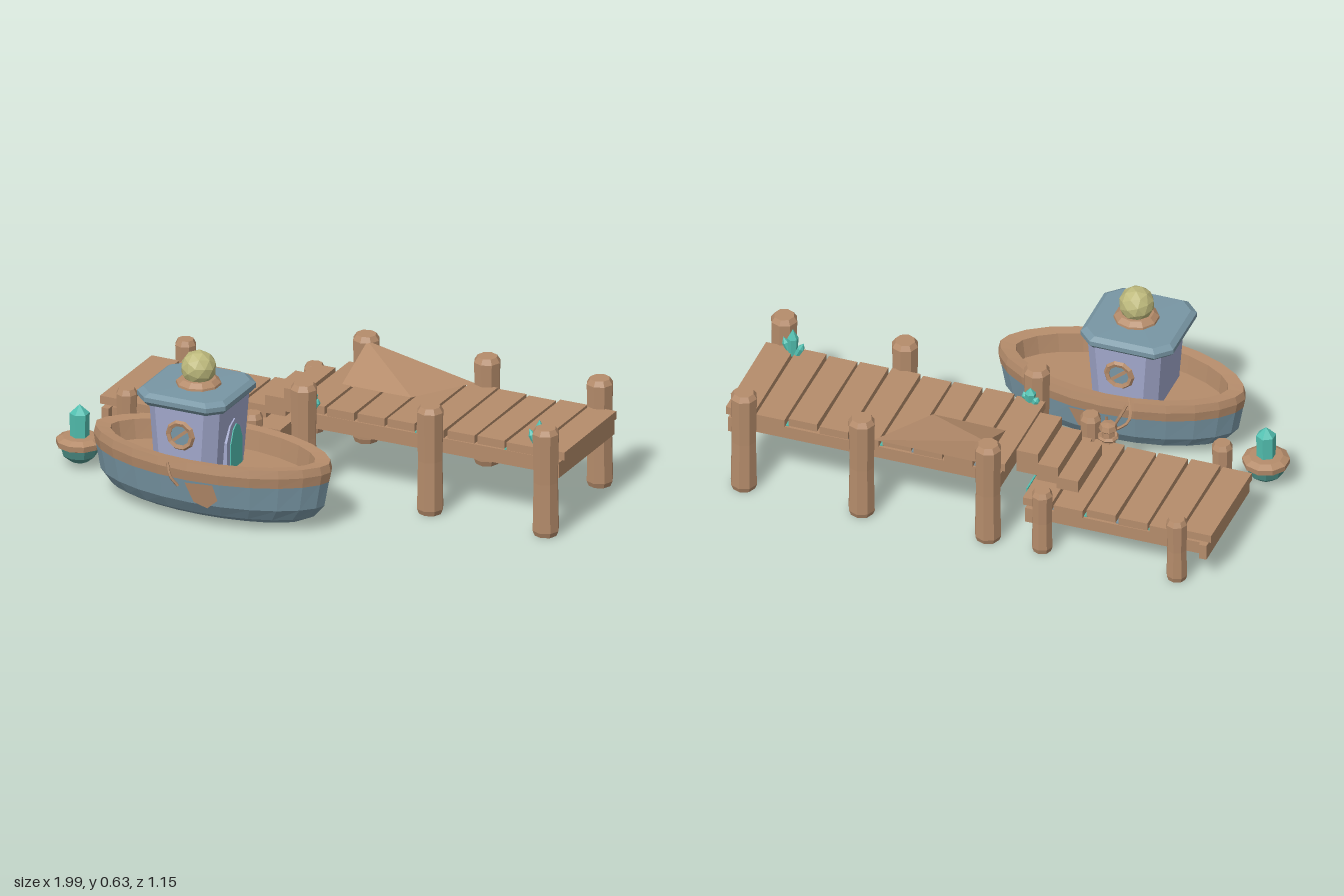
import * as THREE from 'three';
import { ConvexGeometry } from 'three/addons/geometries/ConvexGeometry.js';

const mat = (name, color) => {
  const m = new THREE.MeshStandardMaterial({ color });
  m.name = name;
  return m;
};
const V = (x, y, z) => new THREE.Vector3(x, y, z);

// Faceted normals for the low-poly style
function flat(geo) {
  const g = geo.index ? geo.toNonIndexed() : geo;
  g.computeVertexNormals();
  return g;
}

// Skin over stacked rings of points, listed bottom to top
function loft(rings) {
  const pos = [];
  for (let i = 0; i < rings.length - 1; i++) {
    const n = rings[i].length;
    for (let j = 0; j < n; j++) {
      const a = rings[i][j], b = rings[i][(j + 1) % n];
      const c = rings[i + 1][(j + 1) % n], d = rings[i + 1][j];
      for (const p of [a, b, c, a, c, d]) pos.push(p.x, p.y, p.z);
    }
  }
  const g = new THREE.BufferGeometry();
  g.setAttribute('position', new THREE.Float32BufferAttribute(pos, 3));
  return flat(g);
}

// Boat outline: pointed at both ends, scaled per level
const SIDES = 24;
const boatRing = (y, sx, sz) => Array.from({ length: SIDES }, (_, j) => {
  const a = (j / SIDES) * Math.PI * 2, s = Math.sin(a);
  return V(-0.28 + 0.49 * sx * Math.cos(a), y, 0.332 - 0.225 * sz * Math.sign(s) * Math.abs(s) ** 1.2);
});

// Rectangle with cut corners
const cutRing = (cx, cz, y, hx, hz, c) =>
  [[hx, hz - c], [hx, c - hz], [hx - c, -hz], [c - hx, -hz], [-hx, c - hz], [-hx, hz - c], [c - hx, hz], [hx - c, hz]]
    .map(([x, z]) => V(cx + x, y, cz + z));

export function createModel() {
  const root = new THREE.Group();
  root.name = 'boatAndDock';
  const wood = mat('wood', 0xb58c6b);
  const blue = mat('bluePaint', 0x7896a4);
  const lavender = mat('lavenderPaint', 0xa2a8cc);
  const teal = mat('tealCrystal', 0x52bfb0);
  const green = mat('buoyGreen', 0x4f938a);
  const yellow = mat('lampYellow', 0xbdb97c);

  const add = (parent, name, geo, m, x = 0, y = 0, z = 0) => {
    const mesh = new THREE.Mesh(geo, m);
    mesh.name = name;
    mesh.position.set(x, y, z);
    parent.add(mesh);
    return mesh;
  };
  const group = (name) => {
    const g = new THREE.Group();
    g.name = name;
    root.add(g);
    return g;
  };
  // Box given by its lower and upper limits
  const box = (parent, name, m, x0, x1, y0, y1, z0, z1) =>
    add(parent, name, new THREE.BoxGeometry(x1 - x0, y1 - y0, z1 - z0), m, (x0 + x1) / 2, (y0 + y1) / 2, (z0 + z1) / 2);
  const lathe = (pts, n) => flat(new THREE.LatheGeometry(pts.map(([r, y]) => new THREE.Vector2(r, y)), n));
  const post = (parent, x, z, r, h) =>
    add(parent, 'post', lathe([[0, 0], [r * 0.85, 0], [r, 0.02], [r * 0.93, h * 0.5], [r, h - 0.02], [r * 0.75, h], [0, h]], 8), wood, x, 0, z);
  const crystal = (parent, x, y, z, r, h, tilt = 0) => {
    const c = add(parent, 'crystal', lathe([[0, 0], [r * 0.75, 0], [r, h * 0.65], [0, h]], 6), teal, x, y, z);
    c.rotation.z = tilt;
  };

  // Docks: planks over a base, beams, posts, and teal glinting in the gaps
  function dock(name, x0, x1, top, count, posts, r, h, tealGaps) {
    const d = group(name);
    const step = (x1 - x0) / count;
    for (let i = 0; i < count; i++) {
      const a = x0 + i * step, k = 0.008 * ((i * 2) % 3 - 1);
      const p = box(d, 'plank', wood, a + 0.006, a + step - 0.006, top - 0.032, top, -0.49 - k, -0.045 + k / 2);
      p.rotation.y = 0.006 * ((i % 3) - 1);
      if (tealGaps.includes(i)) box(d, 'gapGlint', teal, a - 0.006, a + 0.006, top - 0.036, top - 0.03, -0.48, -0.05);
      else if (i % 2) box(d, 'gapPaint', blue, a - 0.006, a + 0.006, top - 0.036, top - 0.03, -0.48, -0.2);
    }
    box(d, 'base', wood, x0 + 0.02, x1 - 0.02, top - 0.052, top - 0.042, -0.48, -0.06);
    for (const z of [-0.47, -0.09]) box(d, 'longBeam', wood, x0 + 0.03, x1 - 0.03, top - 0.1, top - 0.042, z, z + 0.03);
    for (const x of [x0 + 0.02, x1 - 0.05]) box(d, 'crossBeam', wood, x, x + 0.03, top - 0.1, top - 0.038, -0.5, -0.03);
    for (const [x, z] of posts) post(d, x, z, r, h);
    return d;
  }
  const high = dock('highDock', -0.12, 1.0, 0.322, 9,
    [[-0.06, -0.52], [0.44, -0.525], [0.91, -0.52], [-0.06, 0.01], [0.46, 0], [0.94, 0]], 0.052, 0.43, [4, 7, 8]);
  const low = dock('lowDock', -0.94, -0.18, 0.195, 6,
    [[-0.81, -0.52], [-0.275, -0.52], [-0.8, 0], [-0.275, 0.005]], 0.041, 0.27, [1, 2, 4]);
  for (const [a, b] of [[-0.22, -0.17], [-0.43, -0.33]]) box(low, 'endGlint', teal, -0.184, -0.178, 0.155, 0.195, a, b);

  // Draped cover tied to the back post
  add(high, 'cover', flat(new ConvexGeometry([V(-0.04, 0.415, -0.49), V(-0.04, 0.32, -0.27),
    V(0.25, 0.323, -0.27), V(0.4, 0.322, -0.5), V(-0.04, 0.32, -0.5)])), wood);

  // Stairs between the docks
  const stairs = group('stairs');
  for (let i = 0; i < 3; i++)
    box(stairs, 'step', wood, -0.37 + i * 0.08, -0.285 + i * 0.08, 0.195 + i * 0.02, 0.245 + i * 0.042, -0.39, -0.13);

  // Crystal clusters on the high dock
  for (const [x, z] of [[0.88, -0.07], [-0.06, -0.06]]) {
    const big = x > 0 ? 1 : 0.6;
    crystal(high, x, 0.31, z, 0.022, 0.115 * big);
    crystal(high, x - 0.015, 0.31, z - 0.01, 0.014, 0.075 * big, 0.45);
    crystal(high, x + 0.015, 0.31, z + 0.01, 0.014, 0.07 * big, -0.4);
  }

  // Boat hull, rim and inner deck
  const boat = group('boat');
  const lower = boatRing(0.1, 0.945, 0.86), upper = boatRing(0.205, 0.985, 0.94);
  add(boat, 'hull', loft([boatRing(0.02, 0, 0), boatRing(0.022, 0.74, 0.5), boatRing(0.05, 0.86, 0.71), lower, upper]), blue);
  add(boat, 'rimAndDeck', loft([boatRing(0.2, 0.96, 0.92), boatRing(0.2, 0.985, 0.98), boatRing(0.24, 1, 1.01),
    boatRing(0.272, 0.985, 0.98), boatRing(0.268, 0.86, 0.81), boatRing(0.19, 0.84, 0.77), boatRing(0.19, 0, 0)]), wood);

  // Wooden repair patches lying on the hull sides
  const patchShape = [[-0.1, 0.85], [0.15, 0.1], [0.6, -0.08], [0.95, 0.3], [0.8, 0.9]];
  for (const [j, out] of [[18, 1], [5, -1]]) {
    const pts = patchShape.map(([s, t]) => {
      const a = lower[j].clone().lerp(lower[j + 1], s), b = upper[j].clone().lerp(upper[j + 1], s);
      return a.lerp(b, t).add(V(0, -0.002, 0.006 * out));
    });
    const tris = [1, 2, 3].flatMap((i) => [pts[0], pts[i], pts[i + 1]]);
    add(boat, 'hullPatch', flat(new THREE.BufferGeometry().setFromPoints(tris)), wood);
  }

  // Cabin and roof
  const cab = (y, hx, hz) => cutRing(-0.335, 0.335, y, hx, hz, 0.045);
  add(boat, 'cabin', loft([cab(0.19, 0.128, 0.163), cab(0.46, 0.147, 0.171)]), lavender);
  const roof = (y, h, c) => cutRing(-0.345, 0.337, y, h, h, c);
  add(boat, 'roof', loft([roof(0.452, 0, 0), roof(0.452, 0.168, 0.05), roof(0.47, 0.184, 0.055),
    roof(0.488, 0.184, 0.055), roof(0.502, 0.165, 0.05), roof(0.505, 0, 0)]), blue);
  add(boat, 'lampBase', lathe([[0.088, 0.495], [0.085, 0.512], [0.066, 0.528], [0, 0.53]], 10), wood, -0.335, 0, 0.34);
  const lamp = add(boat, 'lamp', flat(new THREE.IcosahedronGeometry(0.068, 1)), yellow, -0.335, 0.567, 0.34);
  lamp.rotation.set(0.3, 0.4, 0.2);

  // Round windows on the front and back walls
  for (const s of [1, -1]) {
    const w = new THREE.Group();
    w.name = 'window';
    w.position.set(-0.33, 0.355, 0.335 + s * 0.17);
    w.rotation.y = s > 0 ? 0 : Math.PI;
    boat.add(w);
    add(w, 'windowFrame', flat(new THREE.TorusGeometry(0.049, 0.012, 5, 10)), wood);
    add(w, 'windowGlass', new THREE.CircleGeometry(0.045, 10), blue, 0, 0, 0.002);
    add(w, 'windowBar', new THREE.BoxGeometry(0.09, 0.012, 0.008), wood, 0, 0, 0.003).rotation.z = 0.7;
  }

  // Arched door with a raised surround
  const arch = (w, h, depth) => {
    const s = new THREE.Shape([[-w, 0], [w, 0], [w, h * 0.6], [w * 0.55, h * 0.9], [0, h], [-w * 0.55, h * 0.9], [-w, h * 0.6]]
      .map(([x, y]) => new THREE.Vector2(x, y)));
    return flat(new THREE.ExtrudeGeometry(s, { depth, bevelEnabled: false }));
  };
  add(boat, 'doorSurround', arch(0.07, 0.195, 0.02), lavender, -0.208, 0.19, 0.33).rotation.y = Math.PI / 2;
  add(boat, 'door', arch(0.048, 0.173, 0.008), teal, -0.192, 0.19, 0.325).rotation.y = Math.PI / 2;

  // Mooring post with rope to the boat, and rope loops on the hull sides
  const mooring = group('mooring');
  add(mooring, 'mooringPost', lathe([[0, 0.18], [0.028, 0.18], [0.024, 0.24], [0.036, 0.25], [0.03, 0.27], [0, 0.275]], 7), wood, -0.36, 0, -0.035);
  add(mooring, 'ropeCoil', flat(new THREE.TorusGeometry(0.032, 0.009, 5, 8)), wood, -0.36, 0.215, -0.035).rotation.x = Math.PI / 2;
  const rope = (name, pts, r) =>
    add(mooring, name, flat(new THREE.TubeGeometry(new THREE.CatmullRomCurve3(pts), 8, r, 5)), wood);
  rope('mooringRope', [V(-0.37, 0.235, -0.03), V(-0.41, 0.24, 0.04), V(-0.4, 0.26, 0.1), V(-0.38, 0.275, 0.14)], 0.006);
  rope('backRopeLoop', [V(-0.38, 0.265, 0.11), V(-0.35, 0.2, 0.1), V(-0.31, 0.13, 0.115), V(-0.3, 0.2, 0.105)], 0.006);
  rope('frontRopeLoop', [V(-0.36, 0.26, 0.555), V(-0.345, 0.21, 0.562), V(-0.32, 0.17, 0.548)], 0.006);

  // Floating buoy carrying a crystal
  const buoy = group('buoy');
  buoy.position.set(-0.91, 0, 0.175);
  add(buoy, 'buoyBowl', lathe([[0, 0.02], [0.035, 0.024], [0.066, 0.05], [0.076, 0.085]], 9), green);
  add(buoy, 'buoyRing', lathe([[0.07, 0.08], [0.088, 0.088], [0.09, 0.11], [0.065, 0.123], [0, 0.125]], 10), wood);
  add(buoy, 'buoyCrystal', lathe([[0, 0.12], [0.036, 0.12], [0.038, 0.215], [0, 0.25]], 6), teal);
  return root;
}
